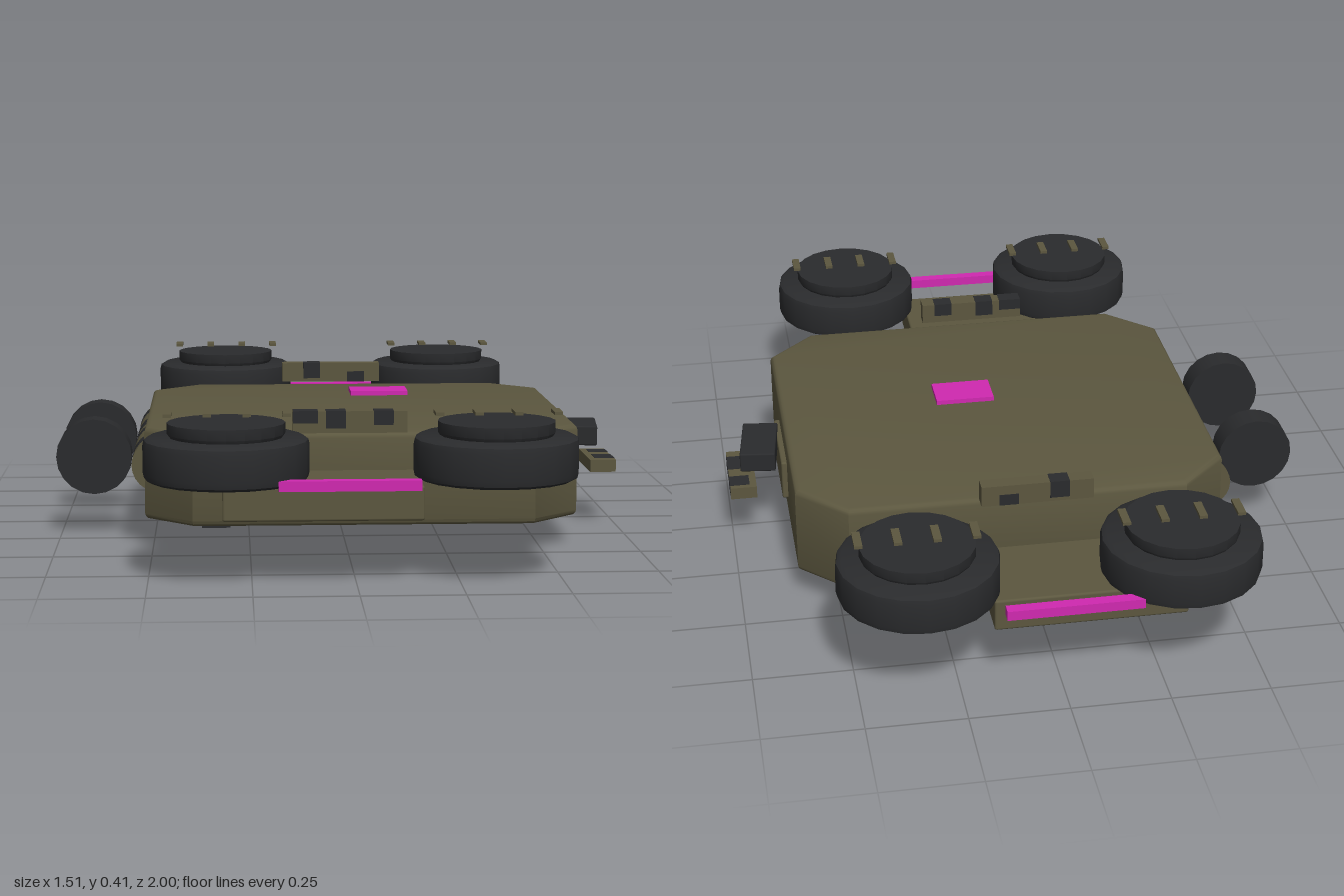
import * as THREE from 'three';
import { toCreasedNormals } from 'three/addons/utils/BufferGeometryUtils.js';
import { RoundedBoxGeometry } from 'three/addons/geometries/RoundedBoxGeometry.js';

export function createModel() {
  const model = new THREE.Group();
  model.name = 'hoverPlatform';
  const material = (name, color) => {
    const m = new THREE.MeshStandardMaterial({ color });
    m.name = name;
    return m;
  };
  const olive = material('olive', 0x5c573f);
  const dark = material('charcoal', 0x2a2b2d);
  const magenta = material('magenta', 0xd029b0);

  const add = (name, geometry, mat, x = 0, y = 0, z = 0, parent = model) => {
    const mesh = new THREE.Mesh(geometry, mat);
    mesh.name = name;
    mesh.position.set(x, y, z);
    parent.add(mesh);
    return mesh;
  };
  // Box given by its limits on each axis, optionally with softened edges
  const block = (name, mat, [x0, x1], [y0, y1], [z0, z1], round = 0) => {
    const s = [x1 - x0, y1 - y0, z1 - z0];
    const g = round ? new RoundedBoxGeometry(...s, 2, round) : new THREE.BoxGeometry(...s);
    return add(name, g, mat, (x0 + x1) / 2, (y0 + y1) / 2, (z0 + z1) / 2);
  };

  // Hull: chamfered square with a small bevel
  const b = 0.015, hx = 0.56 - b, hz = 0.51 - b, c = 0.115;
  const plan = new THREE.Shape([
    [hx, -hz + c], [hx, hz - c], [hx - c, hz], [-hx + c, hz],
    [-hx, hz - c], [-hx, -hz + c], [-hx + c, -hz], [hx - c, -hz],
  ].map(([x, y]) => new THREE.Vector2(x, y)));
  const hull = new THREE.ExtrudeGeometry(plan, {
    depth: 0.21, bevelThickness: b, bevelSize: b, bevelSegments: 3,
  });
  hull.rotateX(-Math.PI / 2);
  add('hull', toCreasedNormals(hull, 0.6), olive, 0.04, 0.09, 0);
  block('topPlate', magenta, [0.03, 0.185], [0.35, 0.362], [-0.052, 0.05]);

  // Rotor drum with its raised cap
  const lathe = (points) => toCreasedNormals(new THREE.LatheGeometry(
    points.map(([r, y]) => new THREE.Vector2(r, y)), 20), 0.6);
  const drum = lathe([[0, 0.245], [0.185, 0.245], [0.197, 0.252], [0.2, 0.265],
    [0.2, 0.33], [0.197, 0.343], [0.185, 0.35], [0, 0.35]]);
  const cap = lathe([[0, 0.34], [0.13, 0.34], [0.142, 0.358], [0.142, 0.384], [0, 0.384]]);
  const slat = new THREE.BoxGeometry(0.02, 0.008, 0.068);

  for (const side of [-1, 1]) {
    const end = side > 0 ? 'front' : 'back';
    const span = (a, d) => side > 0 ? [a, d] : [-d, -a];
    block(end + 'Pod', olive, [-0.32, 0.163], [0.152, 0.236], span(0.613, 0.863), 0.006);
    block(end + 'LightBar', magenta, [-0.188, 0.148], [0.24, 0.265], span(0.928, 0.957));

    // Camouflaged rail beside the hull
    block(end + 'Rail', olive, [-0.142, 0.145], [0.32, 0.375], span(0.515, 0.555));
    const patches = side > 0
      ? [[-0.142, -0.08, 0.345, 0.376], [-0.06, -0.01, 0.332, 0.376], [0.06, 0.11, 0.34, 0.376]]
      : [[-0.08, -0.03, 0.33, 0.376], [0.05, 0.1, 0.32, 0.35]];
    for (const [x0, x1, y0, y1] of patches)
      block(end + 'RailPatch', dark, [x0, x1], [y0, y1], span(0.514, 0.556));

    // Two rotors on each end
    for (const x of [-0.31, 0.34]) {
      const rotor = new THREE.Group();
      rotor.name = end + 'Rotor';
      rotor.position.set(x, 0, side * 0.8);
      model.add(rotor);
      add('rotorDrum', drum, dark, 0, 0, 0, rotor);
      add('rotorCap', cap, dark, 0, 0, 0, rotor);
      for (let i = 0; i < 4; i++)
        add('rotorSlat', slat, olive, -0.14 + i * 0.095, 0.404, 0, rotor);
    }
  }

  // Rounded bumper with dark patches, and two wheels
  const roll = (r, length, sides) =>
    new THREE.CylinderGeometry(r, r, length, sides).rotateX(Math.PI / 2);
  add('bumper', roll(0.07, 0.71, 24), olive, -0.485, 0.21, 0);
  for (const [z, w] of [[-0.3, 0.07], [-0.08, 0.1], [0.06, 0.06], [0.26, 0.08]])
    add('bumperPatch', roll(0.071, w, 24), dark, -0.485, 0.21, z);
  for (const z of [-0.18, 0.17])
    add('wheel', roll(0.1, 0.07, 20), dark, -0.66, 0.21, z);

  // Sensor mount: base plate, turned box and camouflaged tab
  block('sensorBase', olive, [0.59, 0.615], [0.142, 0.25], [-0.122, 0.125], 0.005);
  const sensor = block('sensorBox', dark, [0.618, 0.712], [0.213, 0.266], [-0.092, 0.085], 0.004);
  sensor.rotation.y = -0.12;
  block('sensorTab', olive, [0.682, 0.752], [0.142, 0.175], [-0.105, 0.1]);
  for (const [z0, z1] of [[-0.09, -0.04], [0.0, 0.07]])
    block('sensorTabPatch', dark, [0.7, 0.753], [0.15, 0.176], [z0, z1]);

  // Vent slats under the hull
  for (let i = 0; i < 3; i++)
    block('ventSlat', dark, [-0.377, -0.3], [i * 0.034, i * 0.034 + 0.018], [-0.115, 0.12]);

  return model;
}
